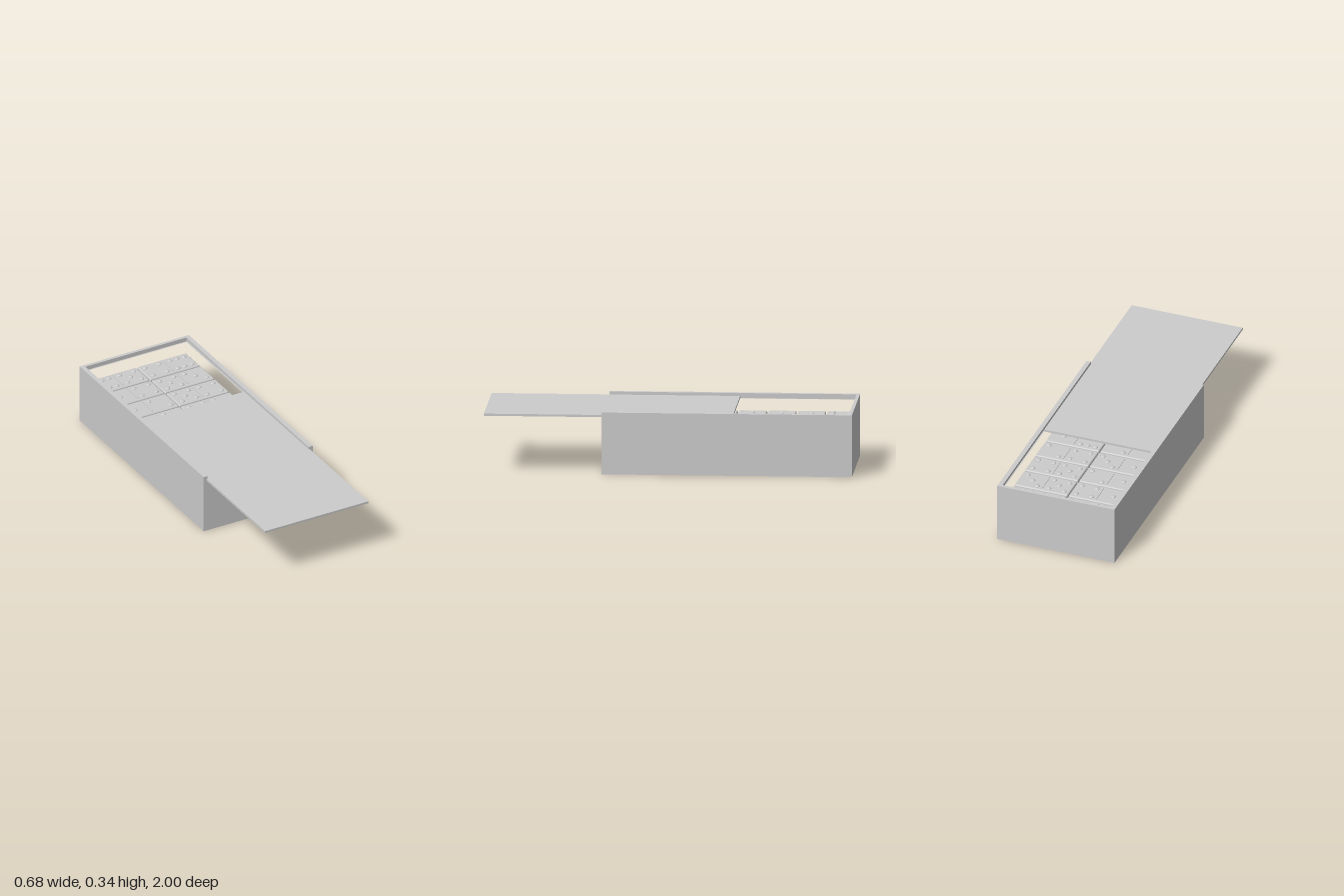
import * as THREE from 'three';
import { RoundedBoxGeometry } from 'three/addons/geometries/RoundedBoxGeometry.js';

const W = 0.34, BACK = -1, FRONT = 0.36;
const FLOOR = 0.02, GROOVE = 0.311, LIP = 0.324, TOP = 0.34;
const mat = new THREE.MeshStandardMaterial({ color: 0xcccccc });

function mesh(name, geo, x = 0, y = 0, z = 0) {
  const m = new THREE.Mesh(geo, mat);
  m.name = name;
  m.position.set(x, y, z);
  return m;
}

// Box given by its min and max corners
function block(name, x0, x1, y0, y1, z0, z1) {
  return mesh(name, new THREE.BoxGeometry(x1 - x0, y1 - y0, z1 - z0),
    (x0 + x1) / 2, (y0 + y1) / 2, (z0 + z1) / 2);
}

// Plan outline (x, z) raised from y0 to y1
function raise(name, pts, hole, y0, y1) {
  const toV = ([x, z]) => new THREE.Vector2(x, -z);
  const shape = new THREE.Shape(pts.map(toV));
  if (hole) shape.holes.push(new THREE.Path(hole.map(toV)));
  const geo = new THREE.ExtrudeGeometry(shape, { depth: y1 - y0, bevelEnabled: false });
  geo.rotateX(-Math.PI / 2);
  return mesh(name, geo, 0, y0, 0);
}

const rect = (w, z0, z1) => [[-w, z0], [w, z0], [w, z1], [-w, z1]];

// Three-sided wall, open at the front
const openFrame = (inner, innerBack) => [
  [-W, FRONT], [-W, BACK], [W, BACK], [W, FRONT],
  [inner, FRONT], [inner, innerBack], [-inner, innerBack], [-inner, FRONT],
];

// Pip positions on a 3 x 3 grid
const PIPS = {
  0: [],
  1: [[0, 0]],
  2: [[-1, -1], [1, 1]],
  3: [[-1, -1], [0, 0], [1, 1]],
  4: [[-1, -1], [1, -1], [-1, 1], [1, 1]],
  5: [[-1, -1], [1, -1], [0, 0], [-1, 1], [1, 1]],
  6: [[-1, -1], [0, -1], [1, -1], [-1, 1], [0, 1], [1, 1]],
};

const LEN = 0.308, WID = 0.152, THICK = 0.076;
const tileGeo = new RoundedBoxGeometry(LEN, THICK, WID, 2, 0.008);
const pipGeo = new THREE.SphereGeometry(0.015, 14, 8).scale(1, 0.45, 1);
const barGeo = new THREE.BoxGeometry(0.005, 0.006, 0.115);

function domino(a, b) {
  const g = new THREE.Group();
  g.name = 'domino';
  g.add(mesh('tile', tileGeo, 0, THICK / 2, 0));
  g.add(mesh('divider', barGeo, 0, THICK, 0));
  [[a, -1], [b, 1]].forEach(([n, side]) => {
    for (const [u, v] of PIPS[n]) {
      g.add(mesh('pip', pipGeo, side * LEN / 4 + u * 0.044, THICK, v * 0.044));
    }
  });
  return g;
}

export function createModel() {
  const model = new THREE.Group();
  model.name = 'dominoBox';

  // Box: floor, walls, lid groove and overhanging lip
  const box = new THREE.Group();
  box.name = 'box';
  box.add(block('floor', -W, W, 0, FLOOR, BACK, FRONT));
  box.add(raise('walls', rect(W, BACK, FRONT), rect(0.315, -0.982, 0.34), FLOOR, GROOVE));
  box.add(raise('lidGroove', openFrame(0.323, -0.99), null, GROOVE, LIP));
  box.add(raise('topLip', openFrame(0.315, -0.982), null, LIP, TOP));
  model.add(box);

  // Sliding lid, pulled halfway out
  model.add(block('slidingLid', -0.322, 0.322, GROOVE + 0.0005, LIP - 0.0005, -0.35, 1));

  // Dominoes in three layers of two columns
  const faces = [
    [[6, 5], [4, 6]], [[1, 4], [5, 3]], [[1, 2], [5, 4]], [[1, 3], [4, 2]],
    [[2, 2], [6, 1]], [[0, 4], [3, 3]], [[5, 5], [2, 6]], [[1, 1], [0, 3]],
  ];
  const dominoes = new THREE.Group();
  dominoes.name = 'dominoes';
  for (let layer = 0; layer < 3; layer++) {
    faces.forEach((row, r) => row.forEach(([a, b], c) => {
      const tile = layer === 2 ? domino(a, b) : mesh('lowerDomino', tileGeo);
      const y = FLOOR + layer * THICK + (layer === 2 ? 0 : THICK / 2);
      tile.position.set((c - 0.5) * 0.313, y, -0.902 + r * 0.16);
      dominoes.add(tile);
    }));
  }
  model.add(dominoes);

  return model;
}
